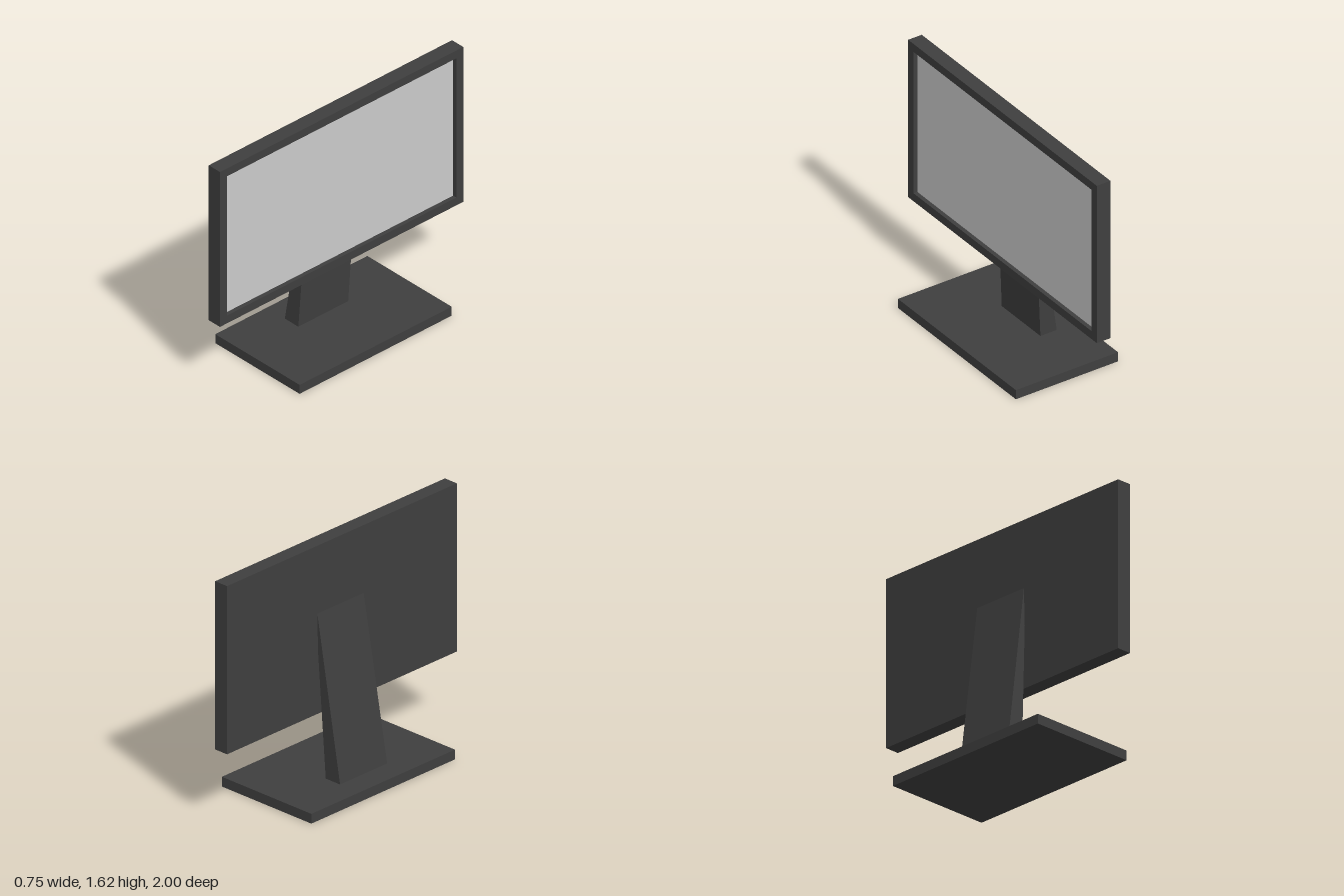
import * as THREE from 'three';

const dark = new THREE.MeshStandardMaterial({ color: 0x3f3f3f });
const grey = new THREE.MeshStandardMaterial({ color: 0xcccccc });

// Box given by its lower and upper corners
function box(name, [x0, y0, z0], [x1, y1, z1], material) {
  const geometry = new THREE.BoxGeometry(x1 - x0, y1 - y0, z1 - z0);
  geometry.translate((x0 + x1) / 2, (y0 + y1) / 2, (z0 + z1) / 2);
  const mesh = new THREE.Mesh(geometry, material);
  mesh.name = name;
  return mesh;
}

// Rectangle outline in the screen plane
function rectangle(path, x0, y0, x1, y1) {
  path.moveTo(x0, y0).lineTo(x1, y0).lineTo(x1, y1).lineTo(x0, y1).closePath();
  return path;
}

// Raised rim around the screen, extruded towards +x
function makeBezel() {
  const shape = rectangle(new THREE.Shape(), -1, 0.49, 1, 1.615);
  shape.holes.push(rectangle(new THREE.Path(), -0.943, 0.547, 0.943, 1.558));
  const geometry = new THREE.ExtrudeGeometry(shape, { depth: 0.03, bevelEnabled: false });
  geometry.rotateY(Math.PI / 2).translate(0.023, 0, 0);
  const mesh = new THREE.Mesh(geometry, dark);
  mesh.name = 'bezel';
  return mesh;
}

// Wedge-shaped neck leaning into the back of the housing
function makeNeck() {
  const geometry = new THREE.BoxGeometry(1, 1, 1);
  const bottom = { y: 0.065, back: -0.214, front: -0.094, left: 0.22, right: -0.19 };
  const top = { y: 1.2, back: -0.041, front: -0.031, left: 0.187, right: -0.215 };
  const p = geometry.attributes.position;
  for (let i = 0; i < p.count; i++) {
    const end = p.getY(i) > 0 ? top : bottom;
    p.setXYZ(i, p.getX(i) > 0 ? end.front : end.back, end.y, p.getZ(i) > 0 ? end.left : end.right);
  }
  const flat = geometry.toNonIndexed();
  flat.computeVertexNormals();
  const mesh = new THREE.Mesh(flat, dark);
  mesh.name = 'neck';
  return mesh;
}

export function createModel() {
  const model = new THREE.Group();
  model.name = 'monitor';
  model.add(
    box('base', [-0.375, 0, -0.607], [0.375, 0.065, 0.643], dark),
    makeNeck(),
    box('housing', [-0.047, 0.49, -1], [0.023, 1.615, 1], dark),
    makeBezel(),
    box('screen', [0.021, 0.547, -0.943], [0.025, 1.558, 0.943], grey),
  );
  return model;
}
